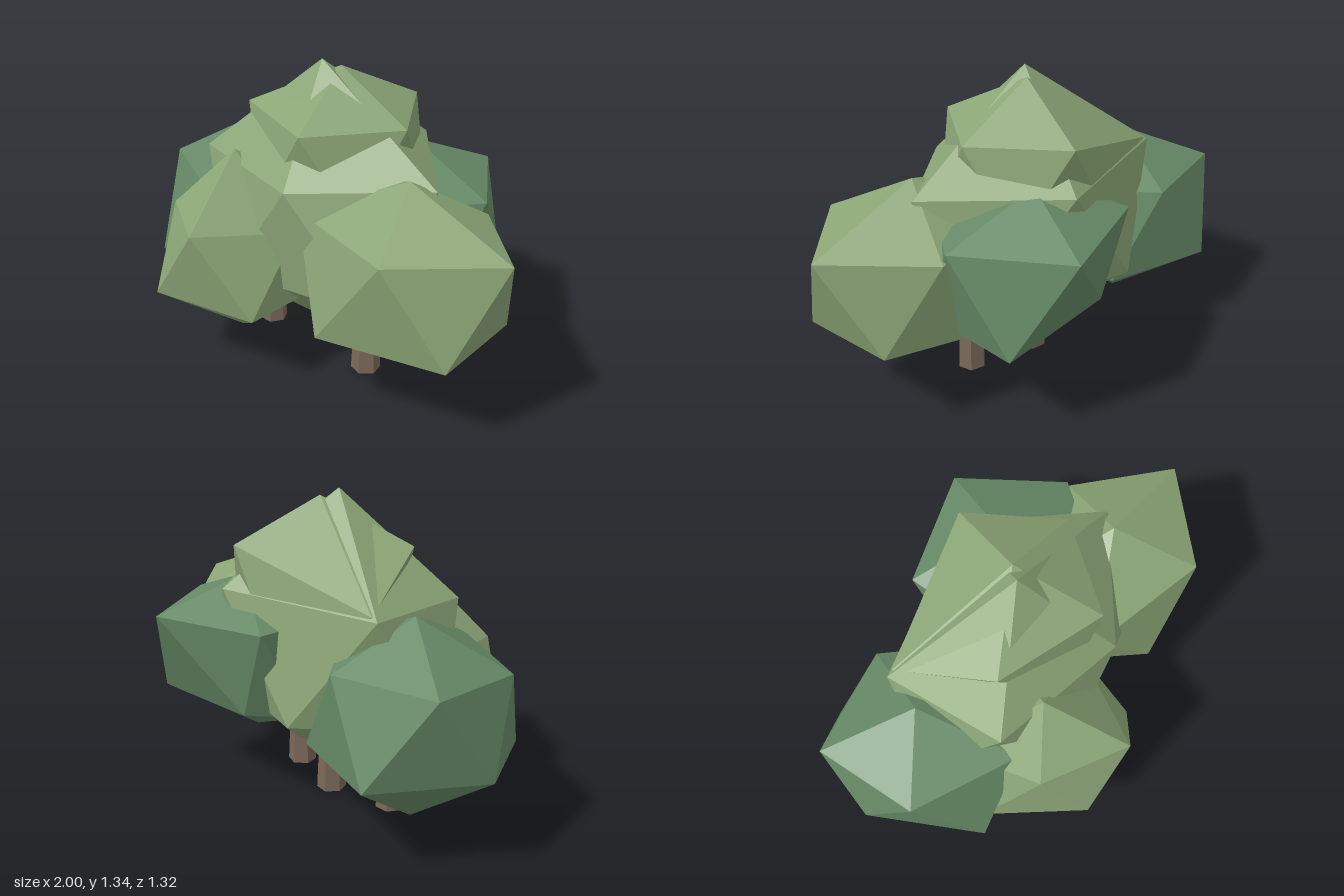
import * as THREE from 'three';

const lightLeaf = new THREE.MeshStandardMaterial({ name: 'light leaf green', color: 0x8ba576 });
const darkLeaf = new THREE.MeshStandardMaterial({ name: 'dark leaf green', color: 0x668966 });
const bark = new THREE.MeshStandardMaterial({ name: 'bark brown', color: 0x7a6858 });
for (const m of [lightLeaf, darkLeaf, bark]) m.flatShading = true;

// Twenty-sided leaf clump: two poles and two staggered rings of five.
// ys = heights of [bottom, lower ring, upper ring, top]; nudges move single corners.
function clump(name, material, [cx, cz], [rx, rz], ys, nudges = {}) {
  const ring = (key, start, y) => Array.from({ length: 5 }, (_, i) => {
    const a = (start + 72 * i) * Math.PI / 180;
    return nudges[key + i] || [cx + rx * Math.cos(a), y, cz + rz * Math.sin(a)];
  });
  const lower = ring('lower', 36, ys[1]);
  const upper = ring('upper', 0, ys[2]);
  const bottom = [cx, ys[0], cz];
  const top = nudges.top || [cx, ys[3], cz];
  const corners = [];
  for (let i = 0; i < 5; i++) {
    const j = (i + 1) % 5;
    corners.push(top, upper[j], upper[i]);
    corners.push(upper[i], upper[j], lower[i]);
    corners.push(lower[j], lower[i], upper[j]);
    corners.push(bottom, lower[i], lower[j]);
  }
  const geometry = new THREE.BufferGeometry();
  geometry.setAttribute('position', new THREE.Float32BufferAttribute(corners.flat(), 3));
  geometry.computeVertexNormals();
  const mesh = new THREE.Mesh(geometry, material);
  mesh.name = name;
  return mesh;
}

// Tapered six-sided trunk
function trunk(name, x, z, turn) {
  const geometry = new THREE.CylinderGeometry(0.042, 0.065, 0.5, 6);
  geometry.rotateY(turn);
  const mesh = new THREE.Mesh(geometry, bark);
  mesh.position.set(x, 0.25, z);
  mesh.name = name;
  return mesh;
}

export function createModel() {
  const group = new THREE.Group();
  group.name = 'bush';

  // Large middle clump and the crown poking through it
  group.add(clump('centreFoliage', lightLeaf, [-0.04, 0], [0.62, 0.46], [0.115, 0.46, 0.95, 1.34], {
    upper0: [0.58, 0.94, 0],
    upper1: [0.12, 0.91, 0.38],
    upper2: [-0.48, 0.92, 0.26],
    upper3: [-0.55, 0.935, -0.26],
    upper4: [0.15, 0.955, -0.46],
    lower1: [-0.2, 0.45, 0.41],
  }));
  group.add(clump('crownFoliage', lightLeaf, [0.01, -0.06], [0.36, 0.375], [0.55, 0.76, 1.12, 1.31], {
    upper2: [-0.34, 1.125, 0.14],
    upper3: [-0.52, 0.95, -0.26],
    upper4: [0.12, 1.135, -0.42],
  }));

  // Surrounding clumps
  group.add(clump('leftFoliage', lightLeaf, [0.51, 0.08], [0.49, 0.365], [0.2, 0.4, 0.805, 0.99], {
    lower0: [0.89, 0.4, 0.3],
    lower1: [0.36, 0.39, 0.45],
    lower3: [0.36, 0.39, -0.28],
    lower4: [0.86, 0.41, -0.13],
    upper4: [0.65, 0.785, -0.25],
  }));
  group.add(clump('frontFoliage', lightLeaf, [-0.26, 0.3], [0.415, 0.375], [0.115, 0.375, 0.73, 0.97], {
    upper0: [0.07, 0.68, 0.27],
    upper2: [-0.48, 0.71, 0.46],
    lower0: [0.08, 0.37, 0.53],
    lower2: [-0.68, 0.38, 0.31],
  }));
  group.add(clump('rightFoliage', darkLeaf, [-0.58, -0.09], [0.42, 0.44], [0.095, 0.37, 0.76, 0.935], {
    lower1: [-0.74, 0.345, 0.36],
    lower2: [-1, 0.4, -0.09],
    lower3: [-0.72, 0.38, -0.49],
    upper2: [-0.89, 0.74, 0.12],
    upper3: [-0.93, 0.76, -0.325],
    upper4: [-0.47, 0.75, -0.42],
  }));
  group.add(clump('backFoliage', darkLeaf, [0.22, -0.25], [0.42, 0.43], [0.28, 0.43, 0.83, 0.98], {
    top: [0.22, 0.98, -0.3],
    upper3: [-0.14, 0.83, -0.49],
    lower2: [-0.15, 0.43, -0.27],
    lower3: [0, 0.45, -0.48],
  }));

  // Trunks
  group.add(trunk('leftTrunk', 0.26, 0.035, 0.25));
  group.add(trunk('middleTrunk', -0.045, -0.045, 0.4));
  group.add(trunk('rightTrunk', -0.345, 0.03, 0.55));
  return group;
}
